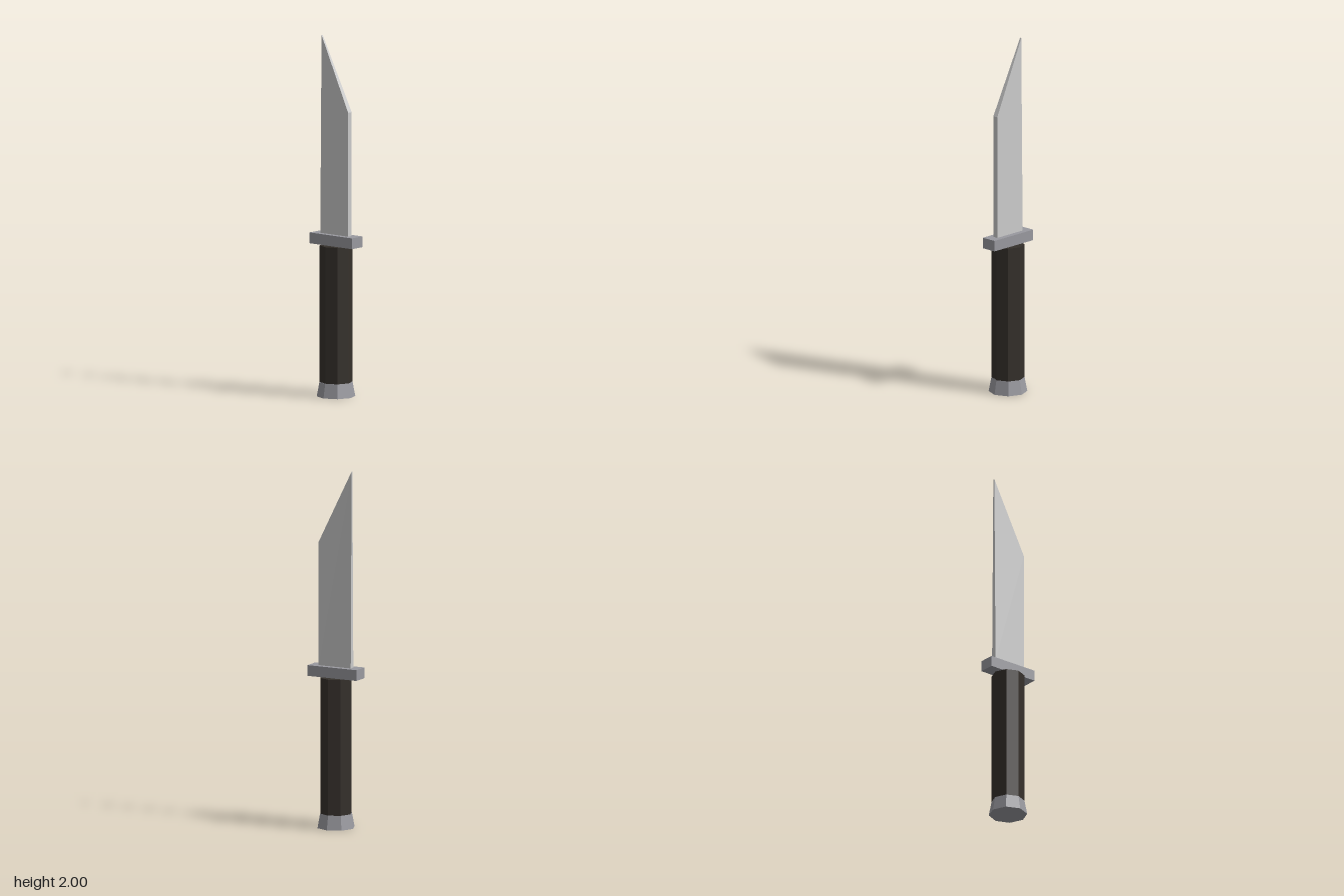
import * as THREE from 'three';

const material = (color) => new THREE.MeshStandardMaterial({ color, flatShading: true });

function addPart(group, name, geometry, mat, y) {
  const mesh = new THREE.Mesh(geometry, mat);
  mesh.name = name;
  mesh.position.y = y;
  group.add(mesh);
}

// Box whose top slopes up to a narrow point at the back
function bladeGeometry(height, drop) {
  const geometry = new THREE.BoxGeometry(0.03, height, 0.2);
  geometry.translate(0, height / 2, 0);
  const p = geometry.attributes.position;
  for (let i = 0; i < p.count; i++) {
    if (p.getY(i) < height / 2) continue;
    if (p.getZ(i) > 0) p.setY(i, height - drop);
    else p.setX(i, p.getX(i) * 0.3);
  }
  geometry.computeVertexNormals();
  return geometry;
}

export function createModel() {
  const group = new THREE.Group();
  group.name = 'knife';
  const metal = material(0x99999f);

  // Octagonal grip with a flared end cap
  addPart(group, 'pommel', new THREE.CylinderGeometry(0.091, 0.106, 0.08, 8), metal, 0.04);
  addPart(group, 'handle', new THREE.CylinderGeometry(0.09, 0.09, 0.76, 8), material(0x35302b), 0.46);

  // Crossguard and blade
  addPart(group, 'guard', new THREE.BoxGeometry(0.09, 0.06, 0.305), metal, 0.87);
  addPart(group, 'blade', bladeGeometry(1.1, 0.41), material(0xcccccc), 0.9);

  return group;
}
